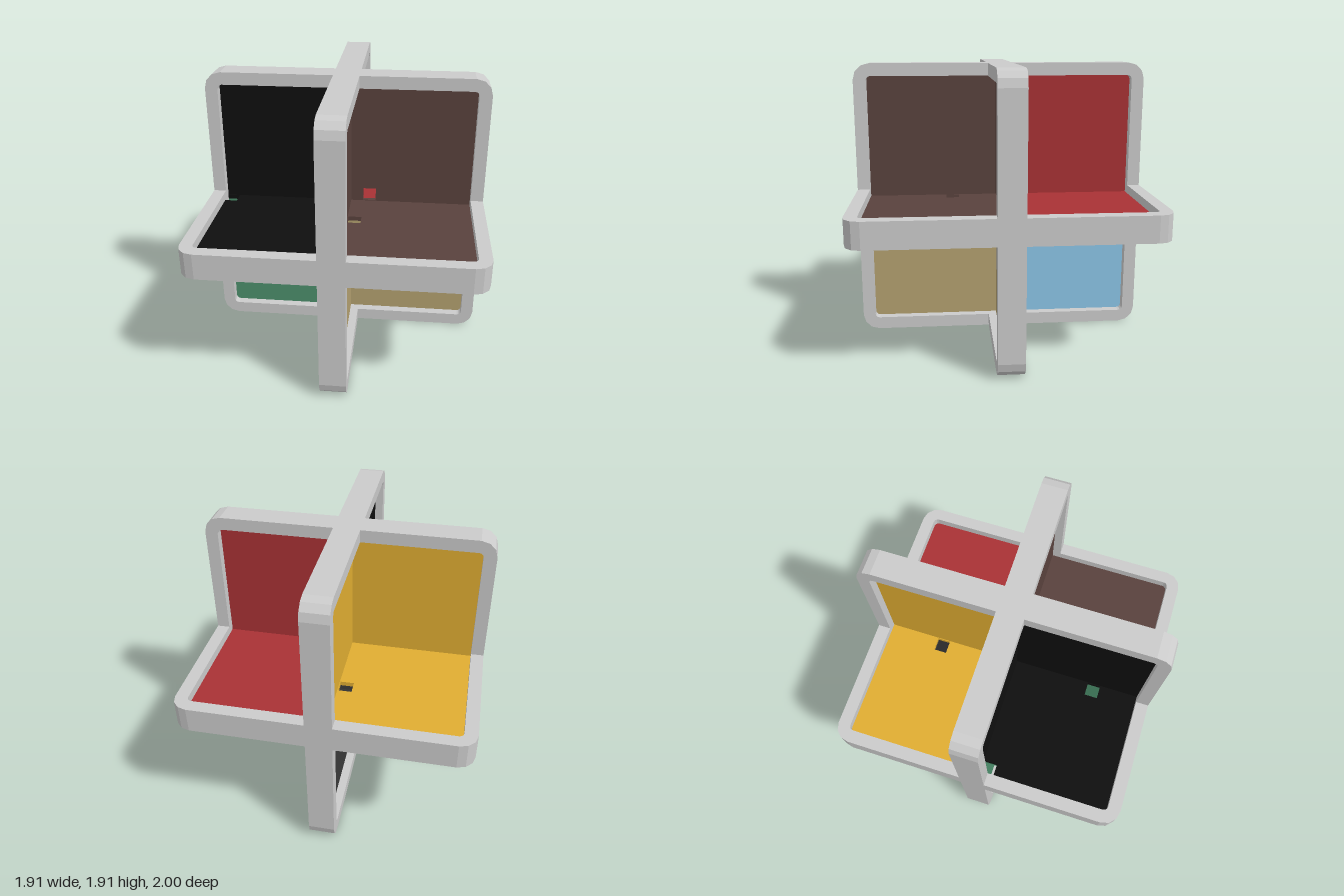
import * as THREE from 'three';

const HALF = [0.955, 0.955, 1.0]; // half extents along x, y, z
const RIM = 0.085;                // width of the frame border
const FRAME_T = 0.175;            // frame thickness
const WALL_T = 0.03;              // wall thickness on each side of a panel
const SLOT = 0.09;                // side of the square slots

// Slot centres per panel, keyed by the normal axis; u, v are the next two axes in cyclic order
const SLOTS = [
  [[0.83, -0.08]],
  [[0.08, -0.83], [0.34, 0.08], [0.605, -0.08], [-0.525, -0.08]],
  [[0.16, 0.08], [0.83, -0.08], [-0.08, -0.33]],
];

// One colour per compartment: signs of x, y, z
const COMPARTMENTS = [
  ['brownCompartment', [1, 1, 1], 0x59423d],
  ['blackCompartment', [-1, 1, 1], 0x0f0f0f],
  ['greenCompartment', [-1, -1, 1], 0x4c8f6c],
  ['tanCompartment', [1, -1, 1], 0xb4a170],
  ['redCompartment', [1, 1, -1], 0xa93235],
  ['blueCompartment', [1, -1, -1], 0x8cc5e8],
  ['yellowCompartment', [-1, 1, -1], 0xe0ad32],
  ['greyCompartment', [-1, -1, -1], 0x3a3a3a],
];

// Rectangle outline with corners rounded in three flat steps
function roundedRect(a, b, r) {
  const pts = [];
  [[1, 1], [-1, 1], [-1, -1], [1, -1]].forEach(([sx, sy], q) => {
    for (let i = 0; i <= 3; i++) {
      const t = (q + i / 3) * Math.PI / 2;
      pts.push(new THREE.Vector2(sx * (a - r) + r * Math.cos(t), sy * (b - r) + r * Math.sin(t)));
    }
  });
  return pts;
}

function rectPoints(u0, v0, u1, v1) {
  return [[u0, v0], [u1, v0], [u1, v1], [u0, v1]].map(p => new THREE.Vector2(...p));
}

// Extrude a shape and turn its normal to the given axis
function plate(shape, axis, from, depth) {
  const g = new THREE.ExtrudeGeometry(shape, { depth, bevelEnabled: false });
  g.translate(0, 0, from);
  const e = [new THREE.Vector3(1, 0, 0), new THREE.Vector3(0, 1, 0), new THREE.Vector3(0, 0, 1)];
  g.applyMatrix4(new THREE.Matrix4().makeBasis(e[(axis + 1) % 3], e[(axis + 2) % 3], e[axis]));
  return g;
}

export function createModel() {
  const model = new THREE.Group();
  model.name = 'crossedPanels';
  const body = new THREE.Group();
  body.name = 'body';
  body.position.y = HALF[1];
  model.add(body);

  // Three interlocking square frames
  const grey = new THREE.MeshStandardMaterial({ color: 0xcccccc });
  ['sideFrame', 'horizontalFrame', 'frontFrame'].forEach((name, axis) => {
    const a = HALF[(axis + 1) % 3], b = HALF[(axis + 2) % 3];
    const shape = new THREE.Shape(roundedRect(a, b, 0.11));
    shape.holes.push(new THREE.Path(roundedRect(a - RIM, b - RIM, 0.03)));
    const frame = new THREE.Mesh(plate(shape, axis, -FRAME_T / 2, FRAME_T), grey);
    frame.name = name;
    body.add(frame);
  });

  // Eight compartments, each lined by three walls with through slots
  for (const [name, sign, color] of COMPARTMENTS) {
    const group = new THREE.Group();
    group.name = name;
    const material = new THREE.MeshStandardMaterial({ color });
    for (let axis = 0; axis < 3; axis++) {
      const u = (axis + 1) % 3, v = (axis + 2) % 3;
      const shape = new THREE.Shape(rectPoints(0, 0,
        sign[u] * (HALF[u] - RIM + 0.02), sign[v] * (HALF[v] - RIM + 0.02)));
      for (const [cu, cv] of SLOTS[axis]) {
        if (Math.sign(cu) !== sign[u] || Math.sign(cv) !== sign[v]) continue;
        const h = SLOT / 2;
        shape.holes.push(new THREE.Path(rectPoints(cu - h, cv - h, cu + h, cv + h)));
      }
      const wall = new THREE.Mesh(plate(shape, axis, sign[axis] > 0 ? 0 : -WALL_T, WALL_T), material);
      wall.name = ['sideWall', 'floorWall', 'backWall'][axis];
      group.add(wall);
    }
    body.add(group);
  }
  return model;
}
